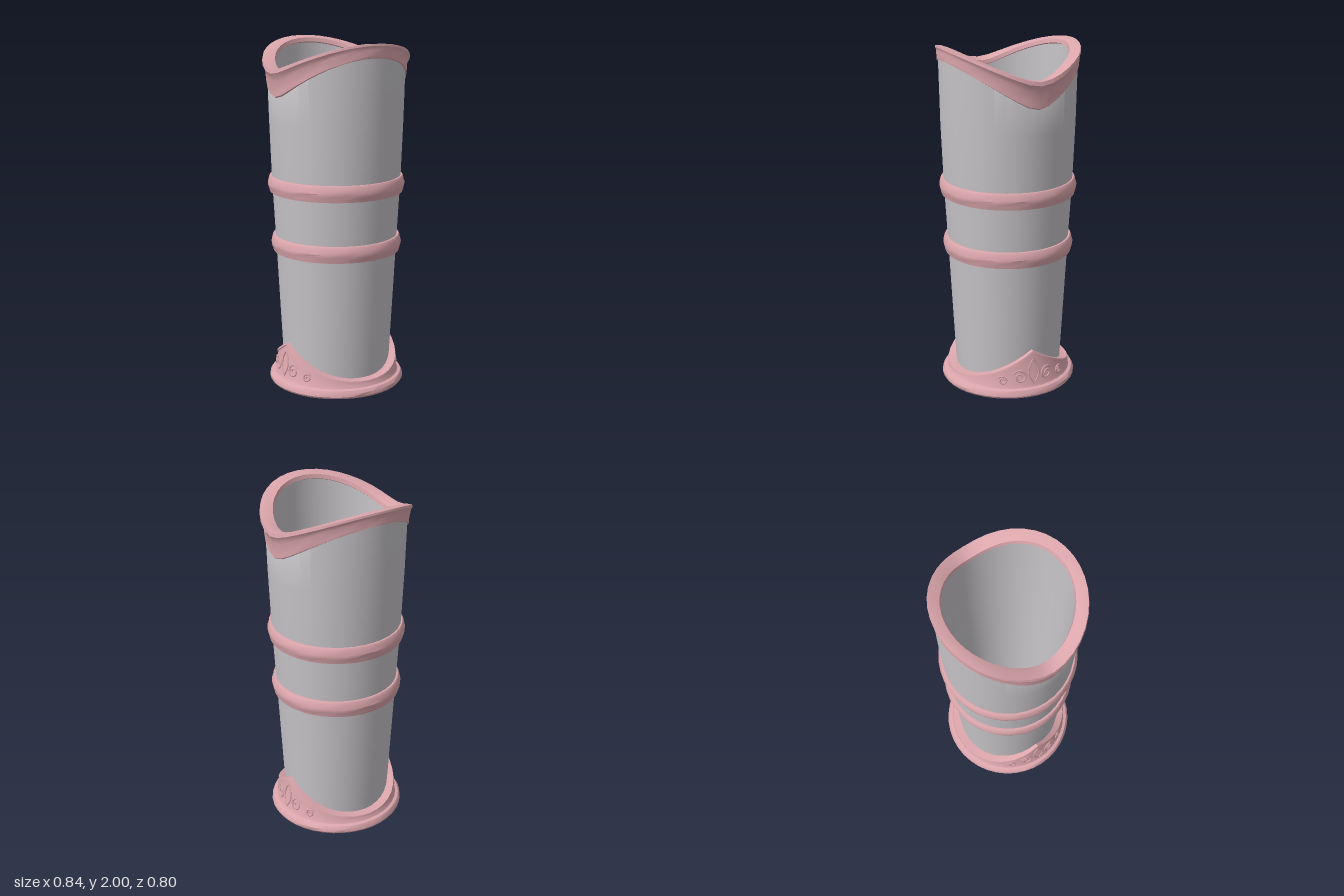
import * as THREE from 'three';
import { toCreasedNormals } from 'three/addons/utils/BufferGeometryUtils.js';

const SIDES = 40;
const lerp = THREE.MathUtils.lerp;

// Sweeps a profile of [radius, y] points round the y axis; the profile may change with the angle
function sweep(profileAt, closed, crease = 0.6) {
  const pos = [], index = [];
  let n = 0;
  for (let i = 0; i < SIDES; i++) {
    const a = (i / SIDES) * Math.PI * 2;
    const profile = profileAt(a);
    n = profile.length;
    for (const [r, y] of profile) pos.push(r * Math.sin(a), y, r * Math.cos(a));
  }
  for (let i = 0; i < SIDES; i++) {
    const k = (i + 1) % SIDES;
    for (let j = 0; j < (closed ? n : n - 1); j++) {
      const m = (j + 1) % n;
      index.push(i * n + j, k * n + j, k * n + m, i * n + j, k * n + m, i * n + m);
    }
  }
  const g = new THREE.BufferGeometry();
  g.setAttribute('position', new THREE.Float32BufferAttribute(pos, 3));
  g.setIndex(index);
  return toCreasedNormals(g, crease);
}

// Slight hand-worked unevenness
const wobble = (a, k) => 0.003 * Math.sin(a * 7 + k * 2.1) * Math.cos(a * 4 + k);

// Rim edges dip at both sides and rise at front and back
const dip = (a) => (Math.sqrt(Math.cos(a) ** 2 + 0.04) - 0.2) / 0.82;
const rimTop = (a) => 1.85 + 0.15 * dip(a);
const rimBottom = (a) => 1.69 + 0.23 * dip(a);

// Collar of the base rises to a point at both sides
const collarTop = (a) => 0.085 + 0.18 * Math.pow(Math.max(0, 1 - Math.abs(Math.cos(a))), 1.15);
const collarRadius = (y) => 0.36 - 0.12 * (y - 0.06);

export function createModel() {
  const model = new THREE.Group();
  const metal = new THREE.MeshStandardMaterial({ color: 0xc6c3c7 });
  metal.name = 'silver grey';
  const trim = new THREE.MeshStandardMaterial({ color: 0xdba6ac });
  trim.name = 'rose pink';

  const add = (name, geometry, material, parent = model) => {
    const mesh = new THREE.Mesh(geometry, material);
    mesh.name = name;
    parent.add(mesh);
    return mesh;
  };

  // Tapered tube wall: outer skin up, inner skin down
  add('wall', sweep((a) => {
    const top = rimBottom(a) + 0.03;
    return [
      [0.308, 0.03], [0.33, 0.45], [0.35, 0.84], [0.37, 1.2], [0.383, 1.55], [0.39, top],
      [0.348, rimTop(a) - 0.02], [0.325, 1.2], [0.30, 0.6], [0.276, 0.004],
    ];
  }, false), metal);

  // Curved rim, a little wider at the sides
  add('rim', sweep((a) => {
    const t = rimTop(a), b = rimBottom(a), side = Math.sin(a) ** 2;
    const at = (f) => lerp(b, t, f);
    return [
      [0.384, b], [0.397, at(0.06)], [0.398 + wobble(a, 1), at(0.25)],
      [0.396 + 0.008 * side + wobble(a, 2), at(0.6)],
      [0.398 + 0.014 * side, at(0.76)], [0.402 + 0.02 * side, at(0.86)],
      [0.4 + 0.018 * side, t], [0.375 + 0.008 * side, t - 0.002 + wobble(a, 3)],
      [0.342 + 0.004 * side, t - 0.012], [0.336 + 0.006 * side, t - 0.035], [0.355, t - 0.045],
    ];
  }, true), trim);

  // Two raised bands round the middle
  for (const [name, y, r] of [['upperBand', 1.14, 0.392], ['lowerBand', 0.792, 0.375]]) {
    add(name, sweep((a) => [
      [r - 0.04, y], [r - 0.008, y], [r - 0.004, y + 0.018],
      [r + wobble(a, 1), y + 0.032 + wobble(a, 4)], [r + 0.003, y + 0.05],
      [r - 0.002 + wobble(a, 2), y + 0.066 + wobble(a, 5)],
      [r - 0.006, y + 0.085], [r - 0.012, y + 0.093], [r - 0.04, y + 0.093],
    ], true), trim);
  }

  // Flared foot with pointed collar and a raised lip
  add('base', sweep((a) => {
    const h = collarTop(a), low = Math.min(0.062, h - 0.02), lip = h - 0.016;
    return [
      [0.275, 0], [0.388, 0], [0.396, 0.012], [0.394 + wobble(a, 1), 0.03], [0.384, 0.045],
      [0.366, 0.05], [collarRadius(low), low],
      [collarRadius(lip) - 0.002, lip], [collarRadius(h) + 0.007, lip + 0.002],
      [collarRadius(h) + 0.004, h], [0.305, h + 0.002], [0.3, 0.03],
    ];
  }, true), trim);

  // Scroll relief on both points of the collar
  const onCollar = (z, y) => {
    const r = collarRadius(y);
    return new THREE.Vector3(Math.sqrt(r * r - z * z), y, z);
  };
  const relief = (points, radius) =>
    new THREE.TubeGeometry(new THREE.CatmullRomCurve3(points), 28, radius, 5);
  const scroll = (z, y, size, dir) => {
    const points = [];
    for (let i = 0; i <= 14; i++) {
      const t = i / 14, a = 0.6 + t * Math.PI * 2.8, s = size * (1 - 0.75 * t);
      points.push(onCollar(dir * (z + Math.cos(a) * s), y + Math.sin(a) * s));
    }
    return relief(points, 0.006);
  };
  for (const side of ['left', 'right']) {
    const ornament = new THREE.Group();
    ornament.name = side + 'Ornament';
    ornament.rotation.y = side === 'left' ? 0 : Math.PI;
    for (const dir of [1, -1]) {
      add('largeScroll', scroll(0.085, 0.115, 0.042, dir), trim, ornament);
      add('smallScroll', scroll(0.18, 0.098, 0.026, dir), trim, ornament);
      add('leafEdge', relief([
        onCollar(0, 0.215), onCollar(dir * 0.026, 0.17),
        onCollar(dir * 0.03, 0.12), onCollar(dir * 0.004, 0.07),
      ], 0.005), trim, ornament);
    }
    model.add(ornament);
  }

  return model;
}
